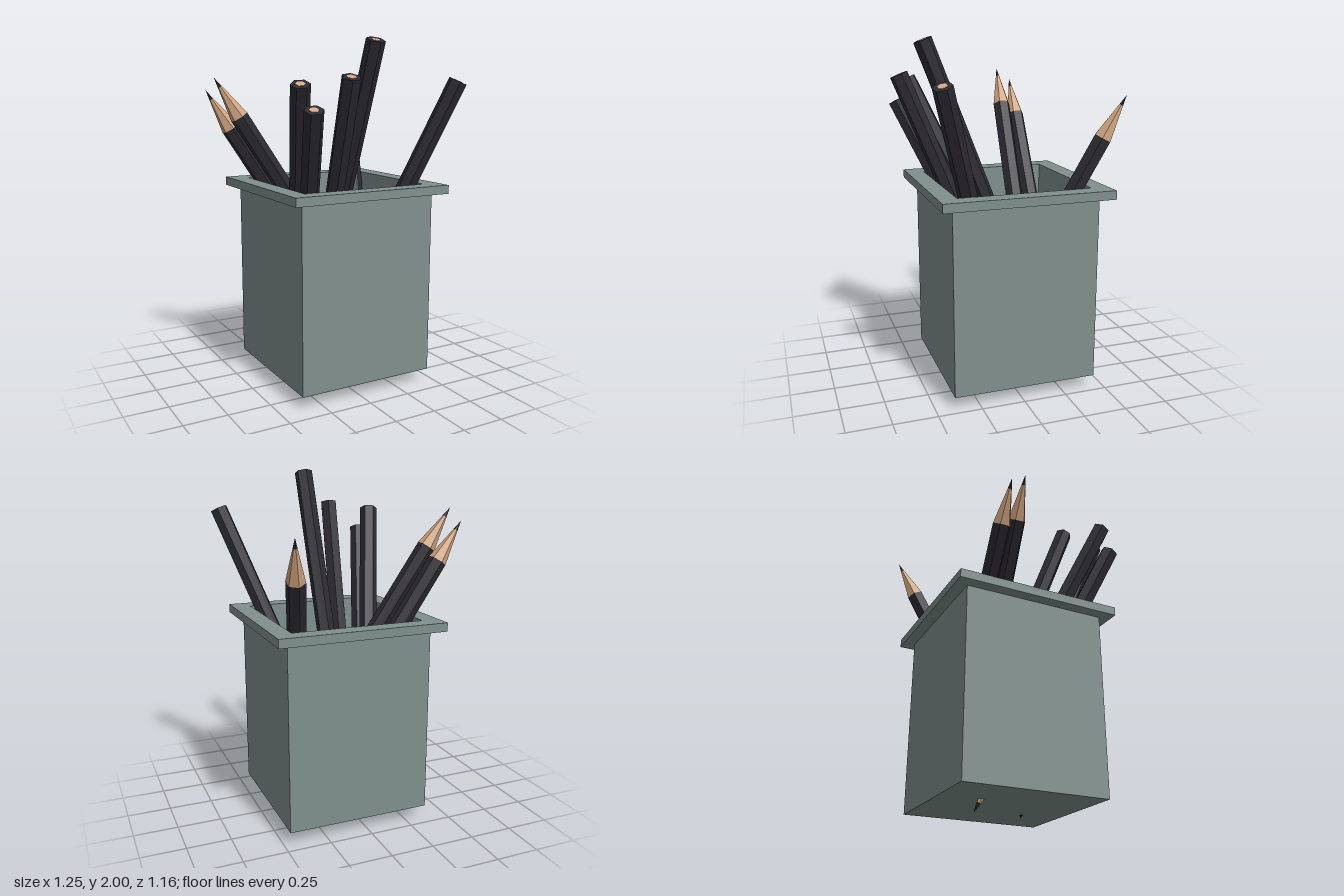
import * as THREE from 'three';

const paint = (color) => new THREE.MeshStandardMaterial({ color, flatShading: true });
const cupMat = paint(0x80908d);
const darkMat = paint(0x2e2c33);
const woodMat = paint(0xd4a882);

const UP = new THREE.Vector3(0, 1, 0);
const R = 0.053;      // pencil radius at the corners
const CONE = 0.26;    // sharpened length, lead included
const LEAD = 0.06;    // bare lead at the point

function add(parent, name, geometry, material, y = 0) {
  const mesh = new THREE.Mesh(geometry, material);
  mesh.name = name;
  mesh.position.y = y;
  parent.add(mesh);
  return mesh;
}

// Square tube standing on y = 0, open at top and bottom
function squareFrame(outer, inner, height) {
  const square = (path, s) => path.moveTo(-s, -s).lineTo(s, -s).lineTo(s, s).lineTo(-s, s).closePath();
  const shape = new THREE.Shape();
  square(shape, outer / 2);
  const hole = new THREE.Path();
  square(hole, inner / 2);
  shape.holes.push(hole);
  return new THREE.ExtrudeGeometry(shape, { depth: height, bevelEnabled: false }).rotateX(-Math.PI / 2);
}

// Six-sided pencil from its blunt end to its point
function pencil(end, tip) {
  const a = new THREE.Vector3(...end);
  const axis = new THREE.Vector3(...tip).sub(a);
  const length = axis.length();
  const shaft = length - CONE;
  const rLead = R * LEAD / CONE;
  const g = new THREE.Group();
  g.name = 'pencil';
  add(g, 'pencilShaft', new THREE.CylinderGeometry(R, R, shaft, 6), darkMat, shaft / 2);
  add(g, 'pencilEndCore', new THREE.CylinderGeometry(R / 2, R / 2, 0.004, 6), woodMat, 0);
  add(g, 'sharpenedWood', new THREE.CylinderGeometry(rLead, R, CONE - LEAD, 6, 1, true), woodMat,
    shaft + (CONE - LEAD) / 2);
  add(g, 'pencilLead', new THREE.ConeGeometry(rLead, LEAD, 6), darkMat, length - LEAD / 2);
  g.position.copy(a);
  g.quaternion.setFromUnitVectors(UP, axis.normalize());
  return g;
}

export function createModel() {
  const model = new THREE.Group();
  model.name = 'pencilHolder';

  // Square cup with a floor and an overhanging rim
  const cup = new THREE.Group();
  cup.name = 'cup';
  cup.position.set(0.047, 0, -0.022);
  add(cup, 'cupWalls', squareFrame(0.836, 0.766, 1.065), cupMat, 0.075);
  add(cup, 'cupFloor', new THREE.BoxGeometry(0.766, 0.035, 0.766), cupMat, 0.0925);
  add(cup, 'cupRim', squareFrame(0.972, 0.766, 0.05), cupMat, 1.14);
  model.add(cup);

  // Pencils as [blunt end, point]
  const pencils = [
    // point down
    [[0.047, 1.983, 0.435], [0.047, 0.3, -0.222]],
    [[-0.394, 1.755, 0.434], [-0.065, 0.135, -0.295]],
    [[-0.358, 1.628, 0.51], [-0.06, 0.002, -0.24]],
    [[-0.156, 1.79, 0.53], [-0.03, 0.115, -0.14]],
    [[0.575, 1.773, 0.464], [-0.003, 0.135, -0.03]],
    // point up
    [[0.365, 0.27, -0.11], [-0.61, 1.79, -0.207]],
    [[0.355, 0.21, -0.255], [-0.628, 1.72, -0.3]],
    [[0.183, 0.09, 0.205], [0.464, 1.695, -0.58]],
  ];
  for (const [end, tip] of pencils) model.add(pencil(end, tip));

  return model;
}
